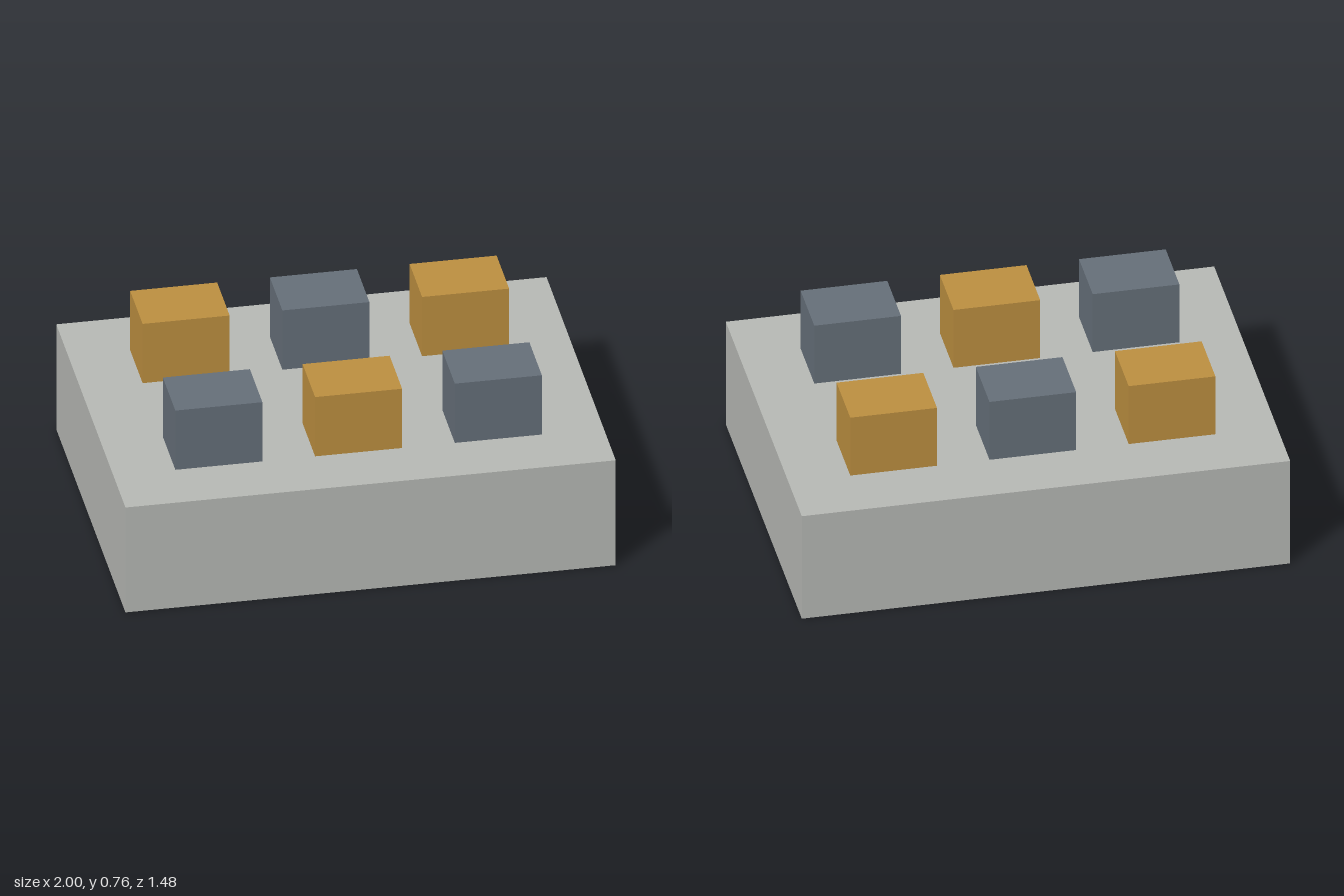
import * as THREE from 'three';

export function createModel() {
  const group = new THREE.Group();
  const material = (name, color) => {
    const m = new THREE.MeshStandardMaterial({ color });
    m.name = name;
    return m;
  };
  const stone = material('pale grey', 0xb9bbb7);
  const slate = material('slate grey', 0x67717b);
  const ochre = material('ochre', 0xbf9141);

  const addBox = (name, [w, h, d], [x, bottom, z], mat) => {
    const mesh = new THREE.Mesh(new THREE.BoxGeometry(w, h, d), mat);
    mesh.name = name;
    mesh.position.set(x, bottom + h / 2, z);
    group.add(mesh);
  };

  // Solid slab
  const slabHeight = 0.487;
  addBox('base', [2, slabHeight, 1.48], [0, 0, 0], stone);

  // Two rows of three blocks in alternating colours
  const columns = [['right', -0.57], ['middle', 0], ['left', 0.57]];
  const rows = [['front', 0.35], ['back', -0.35]];
  rows.forEach(([rowName, z], r) => {
    columns.forEach(([columnName, x], c) => {
      const mat = (r + c) % 2 === 0 ? slate : ochre;
      addBox(`${rowName} ${columnName} block`, [0.355, 0.275, 0.267], [x, slabHeight, z], mat);
    });
  });

  return group;
}
